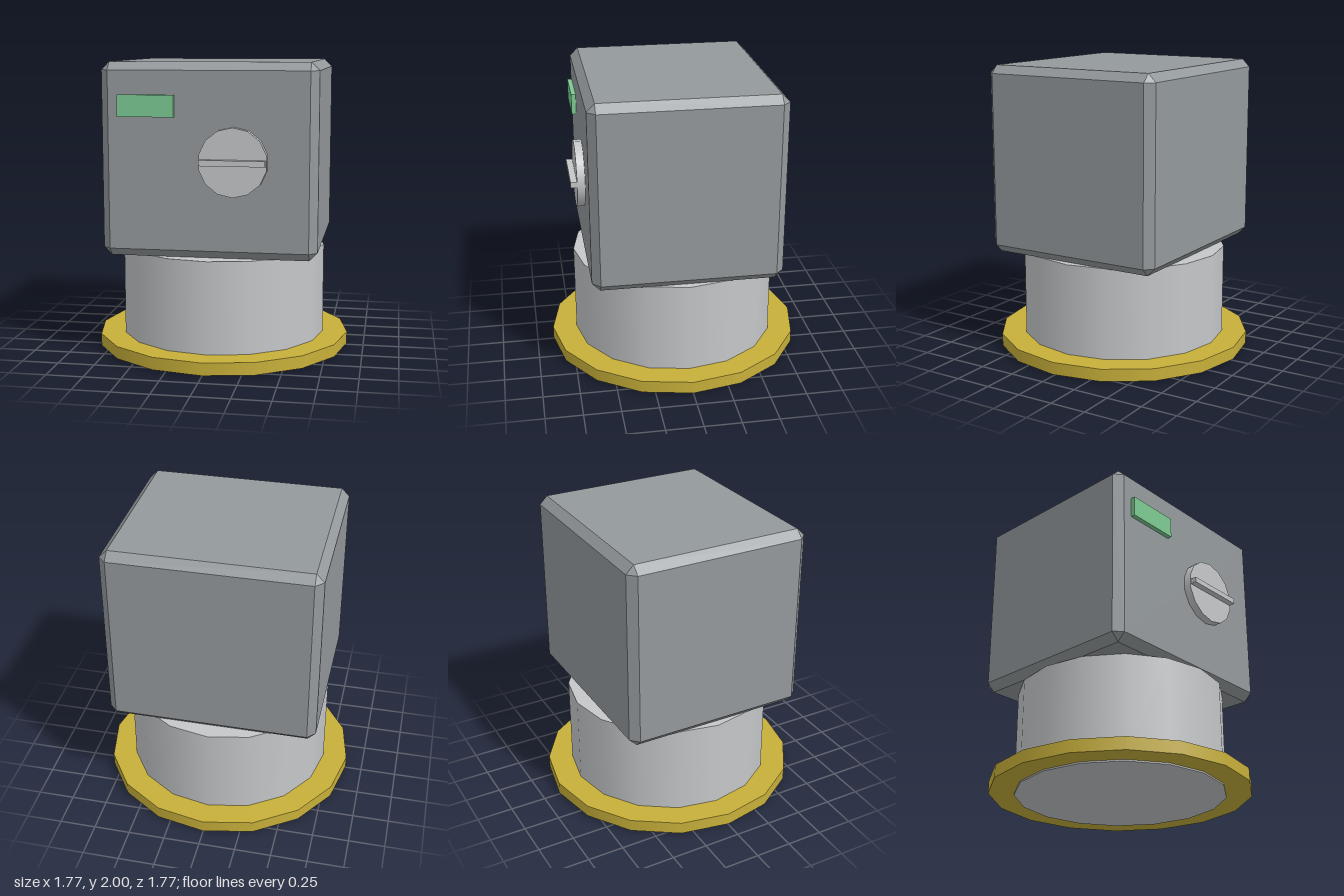
import * as THREE from 'three';
import { ConvexGeometry } from 'three/addons/geometries/ConvexGeometry.js';

const material = (name, color) => {
  const m = new THREE.MeshStandardMaterial({ color });
  m.name = name;
  return m;
};

// Box with every edge and corner cut flat by c
function chamferedBox(w, h, d, c) {
  const half = [w / 2, h / 2, d / 2];
  const points = [];
  for (const x of [-1, 1]) for (const y of [-1, 1]) for (const z of [-1, 1]) {
    for (let face = 0; face < 3; face++) {
      const [px, py, pz] = half.map((s, i) => (i === face ? s : s - c));
      points.push(new THREE.Vector3(x * px, y * py, z * pz));
    }
  }
  return new ConvexGeometry(points);
}

export function createModel() {
  const group = new THREE.Group();
  const slate = material('slate grey', 0x94999c);
  const silver = material('silver', 0xc5c7c9);
  const brass = material('brass', 0xc8b03a);
  const green = material('indicator green', 0x7cca92);

  const add = (name, geometry, mat, x, y, z) => {
    const mesh = new THREE.Mesh(geometry, mat);
    mesh.name = name;
    mesh.position.set(x, y, z);
    group.add(mesh);
    return mesh;
  };

  // Base: round pedestal through a wide brass flange
  add('pedestal', new THREE.CylinderGeometry(0.712, 0.712, 0.72, 16), silver, 0, 0.36, 0);
  add('flange', new THREE.CylinderGeometry(0.884, 0.884, 0.085, 16), brass, 0, 0.0525, 0);

  // Housing
  add('housing', chamferedBox(1.424, 1.28, 1.28, 0.054), slate, 0, 1.36, 0);

  // Front controls: dial with grip bar, and indicator
  const dial = new THREE.CylinderGeometry(0.225, 0.225, 0.07, 14).rotateX(Math.PI / 2);
  add('dial', dial, silver, 0.17, 1.363, 0.658);
  add('dialGrip', new THREE.BoxGeometry(0.43, 0.038, 0.06), silver, 0.17, 1.363, 0.705);
  add('indicator', new THREE.BoxGeometry(0.373, 0.143, 0.05), green, -0.403, 1.718, 0.646);

  return group;
}
